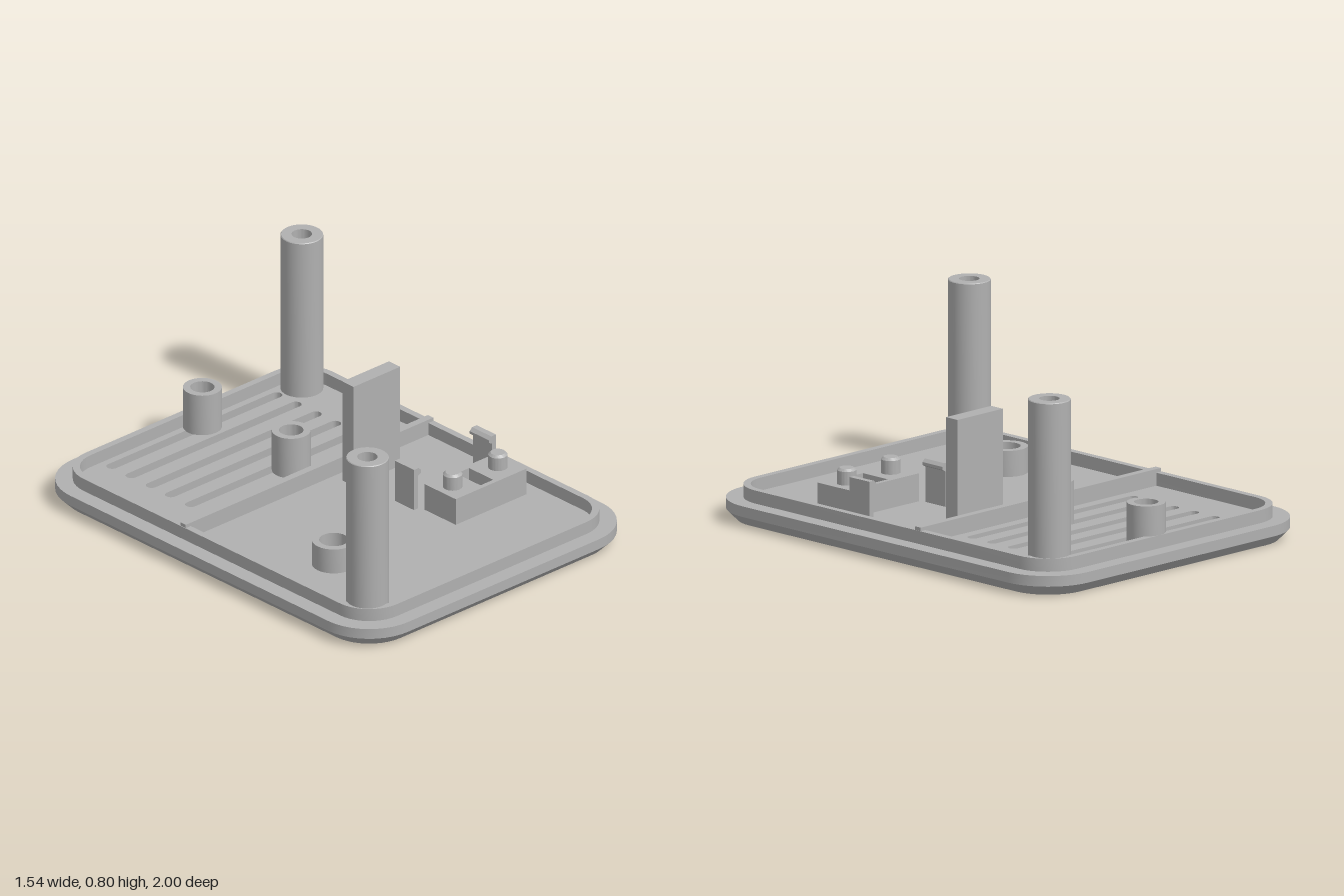
import * as THREE from 'three';
import { toCreasedNormals, mergeGeometries } from 'three/addons/utils/BufferGeometryUtils.js';

const FLOOR = 0.09, RIM_TOP = 0.145;
const SLOTS = [-0.845, -0.73, -0.61, -0.495, -0.375, -0.26];

// Counter-clockwise rounded rectangle outline, seen from above
function outline(hx, hz, r = 0, cx = 0, cz = 0, n = 10) {
  const pts = [];
  const corners = [[1, 1], [-1, 1], [-1, -1], [1, -1]];
  corners.forEach(([sx, sy], q) => {
    const steps = r > 0 ? n : 0;
    for (let i = 0; i <= steps; i++) {
      const a = (q + (steps ? i / steps : 0)) * Math.PI / 2;
      pts.push(new THREE.Vector2(
        cx + sx * (hx - r) + r * Math.cos(a),
        -cz + sy * (hz - r) + r * Math.sin(a)));
    }
  });
  return pts;
}

const circle = (r, cx, cz) => outline(r, r, r - 0.0001, cx, cz, 8);

function withHoles(pts, holes) {
  const shape = new THREE.Shape(pts);
  holes.forEach(h => shape.holes.push(new THREE.Path(h)));
  return shape;
}

// Flat horizontal face with holes, facing up or down
function cap(pts, holes, y, up) {
  const g = new THREE.ShapeGeometry(withHoles(pts, holes)).rotateX(-Math.PI / 2).translate(0, y, 0);
  if (!up) {
    const ix = g.index.array;
    for (let i = 0; i < ix.length; i += 3) [ix[i], ix[i + 1]] = [ix[i + 1], ix[i]];
  }
  const flat = g.toNonIndexed();
  flat.deleteAttribute('uv');
  flat.deleteAttribute('normal');
  return flat;
}

// Side wall between two matching outlines; inward walls line a hole
function wall(low, y0, high, y1, inward = false) {
  const pos = [];
  for (let i = 0; i < low.length; i++) {
    const j = (i + 1) % low.length;
    const a = [low[i].x, y0, -low[i].y], b = [low[j].x, y0, -low[j].y];
    const c = [high[j].x, y1, -high[j].y], d = [high[i].x, y1, -high[i].y];
    const tris = inward ? [a, c, b, a, d, c] : [a, b, c, a, c, d];
    tris.forEach(p => pos.push(...p));
  }
  const g = new THREE.BufferGeometry();
  g.setAttribute('position', new THREE.Float32BufferAttribute(pos, 3));
  return g;
}

function extrudeUp(pts, holes, y0, y1) {
  const g = new THREE.ExtrudeGeometry(withHoles(pts, holes), { depth: y1 - y0, bevelEnabled: false });
  return toCreasedNormals(g.rotateX(-Math.PI / 2).translate(0, y0, 0), 0.6);
}

// Lathed part from a profile running up the outside and down the inside
function turned(profile, x, z) {
  const g = new THREE.LatheGeometry(profile.map(p => new THREE.Vector2(...p)), 40);
  return toCreasedNormals(g.translate(x, 0, z), 0.6);
}

export function createModel() {
  const group = new THREE.Group();
  const grey = new THREE.MeshStandardMaterial({ color: 0xb0b0b0 });
  grey.name = 'grey plastic';
  const add = (name, geometry) => {
    const mesh = new THREE.Mesh(geometry, grey);
    mesh.name = name;
    group.add(mesh);
  };
  const box = (name, x0, x1, y0, y1, z0, z1) => add(name,
    new THREE.BoxGeometry(x1 - x0, y1 - y0, z1 - z0)
      .translate((x0 + x1) / 2, (y0 + y1) / 2, (z0 + z1) / 2));

  // Base plate: chamfered underside, vent slots, screw hole and funnel recess
  const outer = outline(0.77, 1, 0.23), bottom = outline(0.725, 0.955, 0.185);
  const vents = SLOTS.map(z => outline(0.487, 0.024, 0.0238, 0, z, 6));
  const screwWide = circle(0.058, -0.4, 0.41), screw = circle(0.046, -0.4, 0.41);
  const funnel = outline(0.135, 0.15, 0, 0.395, 0.41);
  const slit = outline(0.036, 0.072, 0, 0.395, 0.41);
  add('basePlate', toCreasedNormals(mergeGeometries([
    cap(bottom, [...vents, screwWide, funnel], 0, false),
    wall(bottom, 0, outer, 0.045),
    wall(outer, 0.045, outer, FLOOR),
    cap(outer, [...vents, screw, slit], FLOOR, true),
    ...vents.map(v => wall(v, 0, v, FLOOR, true)),
    wall(screwWide, 0, screw, 0.03, true),
    wall(screw, 0.03, screw, FLOOR, true),
    wall(funnel, 0, slit, FLOOR, true),
  ]), 0.6));

  // Raised rim and cross divider
  add('rim', extrudeUp(outline(0.7, 0.93, 0.165), [outline(0.67, 0.9, 0.135)], FLOOR, RIM_TOP));
  box('divider', -0.698, 0.698, FLOOR, 0.16, -0.19, -0.158);

  // Tall corner posts with blind screw holes
  [[-0.59, 0.812], [0.582, -0.82]].forEach(([x, z]) => add('cornerPost', turned(
    [[0.088, FLOOR], [0.088, 0.797], [0.085, 0.8], [0.042, 0.8], [0.042, 0.4], [0, 0.4]], x, z)));

  // Short mounting bosses among the vents
  [-0.85, -0.32].forEach(z => add('ventBoss', turned(
    [[0, FLOOR - 0.001], [0.08, FLOOR - 0.001], [0.08, 0.272], [0.05, 0.272], [0.05, 0.1], [0, 0.1]], 0.05, z)));

  // Open boss around the through hole
  add('screwBoss', turned(
    [[0.09, FLOOR], [0.09, 0.2], [0.06, 0.2], [0.06, 0.1], [0.046, 0.1], [0.046, FLOOR]], -0.4, 0.41));

  // Upright support plate
  box('uprightPlate', 0.135, 0.398, FLOOR, 0.546, -0.105, -0.038);

  // Switch block with a through slit and two pegs
  add('switchBlock', extrudeUp(outline(0.2, 0.093, 0, 0.4, 0.41), [slit], FLOOR, 0.208));
  [0.27, 0.525].forEach(x => add('peg', turned(
    [[0.04, 0.205], [0.04, 0.266], [0.03, 0.276], [0, 0.276]], x, 0.41)));

  // Facing clips with inward lips
  [-1, 1].forEach(s => {
    const clip = new THREE.Shape([[0.231, FLOOR], [0.231, 0.275], [0.205, 0.275], [0.191, 0.262],
      [0.191, 0.25], [0.209, 0.24], [0.209, FLOOR]].map(([x, y]) => new THREE.Vector2(0.397 + s * x, y)));
    add(s > 0 ? 'leftClip' : 'rightClip',
      new THREE.ExtrudeGeometry(clip, { depth: 0.115, bevelEnabled: false }).translate(0, 0, 0.175));
  });
  return group;
}
